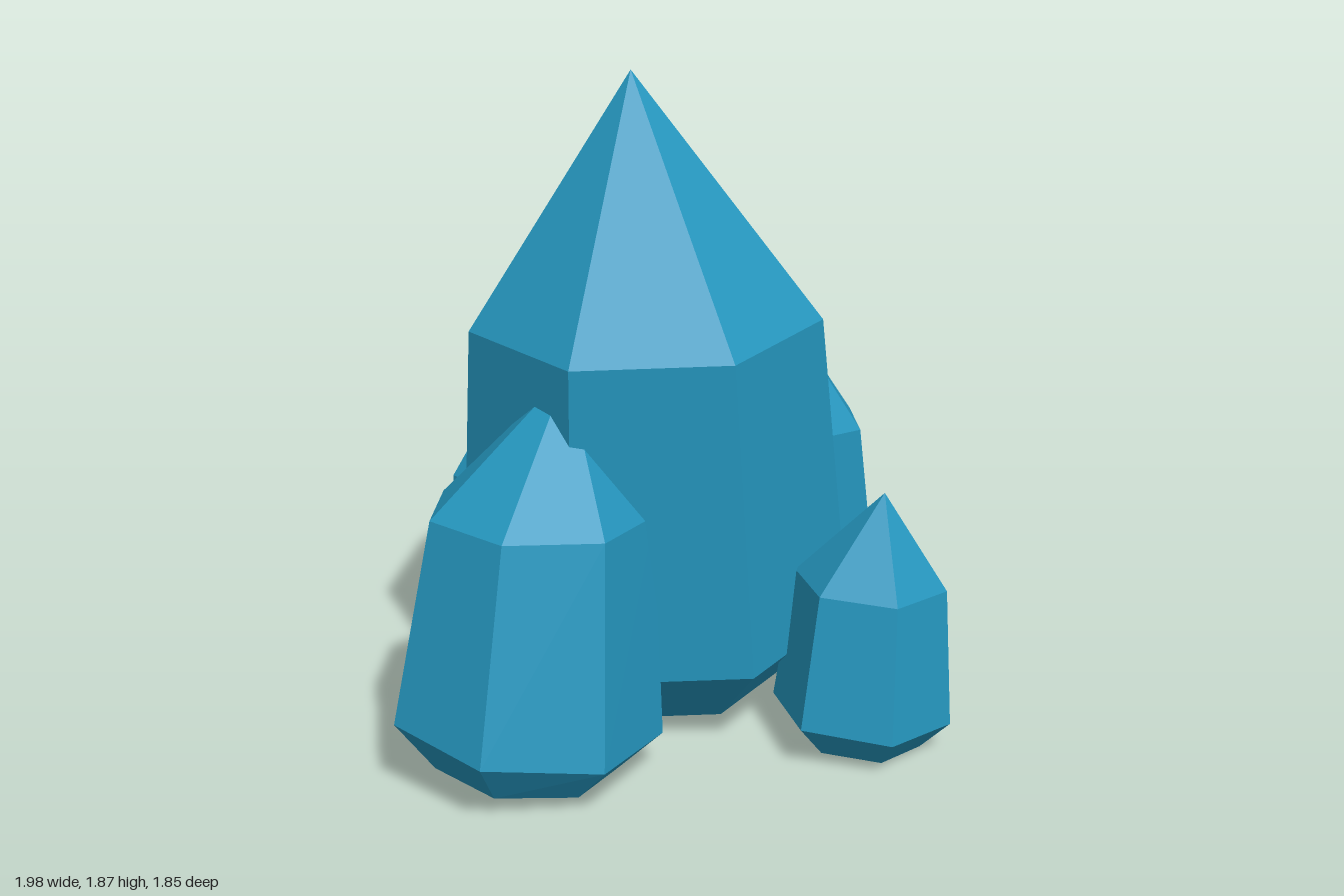
import * as THREE from 'three';

// Each ring: [centre x, y, z, radius, height slope along x, along z], bottom to top.
const CRYSTALS = [
  {
    name: 'mainCrystal', sides: 7, phase: 13, apex: [-0.09, 1.88, -0.02],
    rings: [
      [0.06, 0.055, -0.04, 0.39, 0.05, -0.02],
      [0.02, 0.28, -0.02, 0.58, 0.05, -0.02],
      [-0.087, 1.2, 0.024, 0.503, 0.055, -0.015],
    ],
  },
  {
    name: 'leftCrystal', sides: 7, phase: 26, apex: [0.6, 1.04, 0.07],
    rings: [
      [0.69, 0.03, -0.01, 0.24, 0.07, 0],
      [0.665, 0.15, -0.02, 0.357, 0.09, -0.02],
      [0.61, 0.7, 0.02, 0.285, -0.07, -0.02],
    ],
  },
  {
    name: 'rightCrystal', sides: 7, phase: 5, apex: [-0.45, 1.12, 0.03],
    rings: [
      [-0.66, 0.05, 0.03, 0.26, -0.08, -0.05],
      [-0.64, 0.17, 0.02, 0.377, -0.1, -0.08],
      [-0.56, 0.75, 0.015, 0.31, -0.07, 0],
    ],
  },
  {
    name: 'frontCrystal', sides: 6, phase: 10, apex: [0.08, 0.76, 0.72],
    rings: [
      [0.045, 0.018, 0.69, 0.17, -0.06, -0.02],
      [0.04, 0.11, 0.69, 0.255, -0.08, -0.03],
      [0.07, 0.495, 0.69, 0.215, -0.06, -0.02],
    ],
  },
  {
    name: 'backCrystal', sides: 7, phase: 11, apex: [0.14, 0.745, -0.72],
    rings: [
      [0.25, 0.045, -0.67, 0.15, 0.05, 0.03],
      [0.24, 0.125, -0.68, 0.24, 0.05, 0.03],
      [0.2, 0.49, -0.71, 0.2, 0.02, 0.02],
    ],
  },
];

// Faceted crystal: flat base, flared foot, tapering shaft and pointed tip.
function crystalGeometry({ sides, phase, apex, rings }) {
  const point = ([cx, cy, cz, r, sx, sz], i) => {
    const a = THREE.MathUtils.degToRad(phase) + ((i % sides) / sides) * Math.PI * 2;
    const dx = Math.cos(a) * r, dz = Math.sin(a) * r;
    return [cx + dx, cy + sx * dx + sz * dz, cz + dz];
  };
  const top = rings[rings.length - 1];
  const positions = [];
  for (let i = 0; i < sides; i++) {
    positions.push(...rings[0].slice(0, 3), ...point(rings[0], i), ...point(rings[0], i + 1));
    for (let k = 0; k < rings.length - 1; k++) {
      const a = point(rings[k], i), b = point(rings[k], i + 1);
      const c = point(rings[k + 1], i), d = point(rings[k + 1], i + 1);
      positions.push(...a, ...c, ...b, ...b, ...c, ...d);
    }
    positions.push(...point(top, i), ...apex, ...point(top, i + 1));
  }
  const geometry = new THREE.BufferGeometry();
  geometry.setAttribute('position', new THREE.Float32BufferAttribute(positions, 3));
  geometry.computeVertexNormals();
  return geometry;
}

export function createModel() {
  const group = new THREE.Group();
  group.name = 'crystalCluster';
  const material = new THREE.MeshStandardMaterial({ color: 0x2596be, flatShading: true });
  material.name = 'crystalBlue';
  for (const crystal of CRYSTALS) {
    const mesh = new THREE.Mesh(crystalGeometry(crystal), material);
    mesh.name = crystal.name;
    group.add(mesh);
  }
  return group;
}
